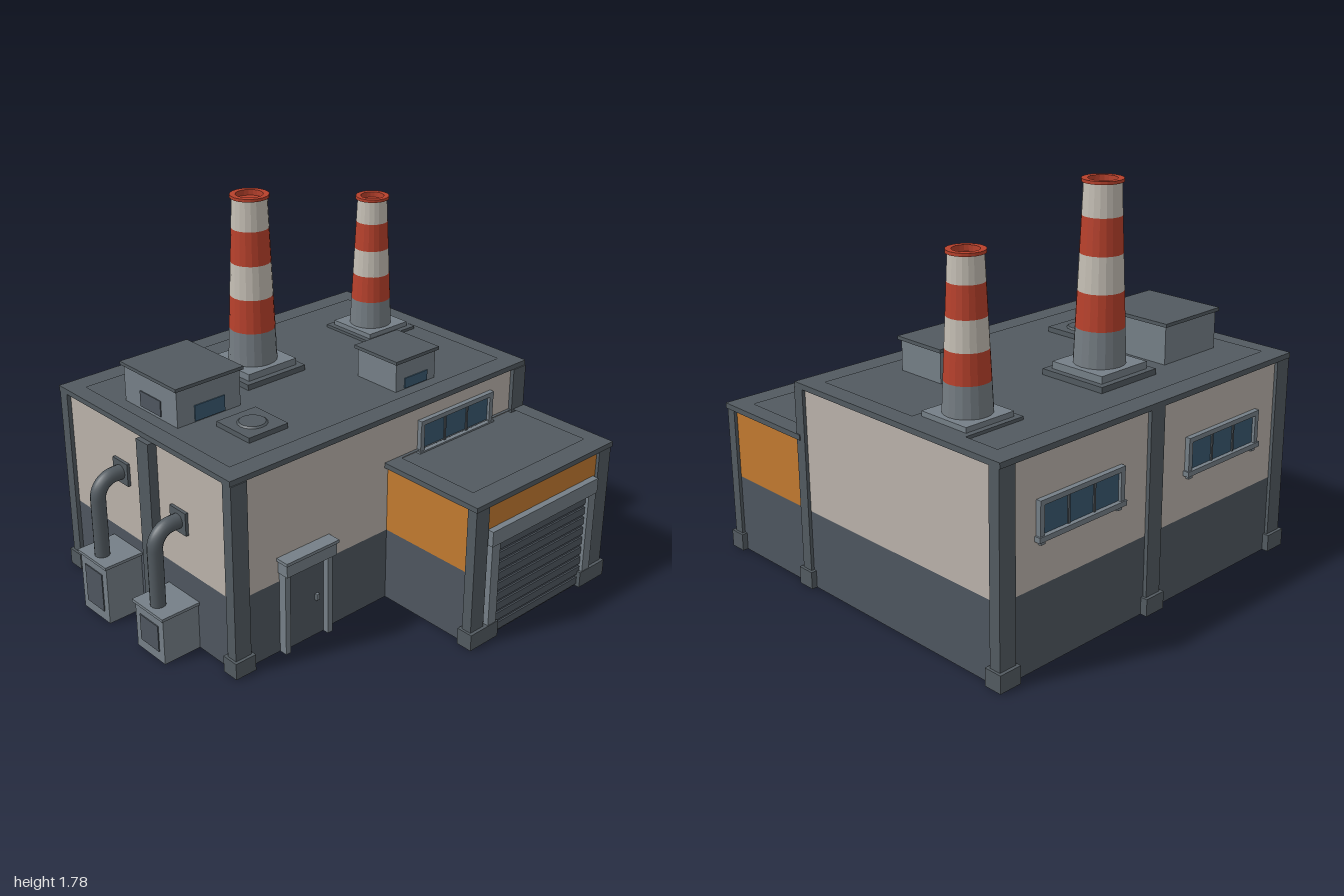
import * as THREE from 'three';

const mat = (name, color, extra = {}) => {
  const m = new THREE.MeshStandardMaterial({ color, ...extra });
  m.name = name;
  return m;
};

export function createModel() {
  const model = new THREE.Group();
  model.name = 'factory';
  const slate = mat('slate trim', 0x525a60);
  const base = mat('dark lower wall', 0x4e565f);
  const cream = mat('cream wall', 0xbab2aa);
  const orange = mat('orange wall', 0xc27a30);
  const grey = mat('light grey metal', 0x757f87);
  const glass = mat('blue glass', 0x38586f);
  const red = mat('red paint', 0xb8412c, { flatShading: true });
  const white = mat('white paint', 0xc4beb4, { flatShading: true });
  const steel = mat('chimney grey', 0x757d83, { flatShading: true });

  const add = (name, geo, material, parent = model) => {
    const m = new THREE.Mesh(geo, material);
    m.name = name;
    parent.add(m);
    return m;
  };
  // Box given by its extents on each axis
  const box = (name, material, x0, x1, y0, y1, z0, z1, parent) => {
    const g = new THREE.BoxGeometry(x1 - x0, y1 - y0, z1 - z0);
    g.translate((x0 + x1) / 2, (y0 + y1) / 2, (z0 + z1) / 2);
    return add(name, g, material, parent);
  };
  const group = (name) => {
    const g = new THREE.Group();
    g.name = name;
    model.add(g);
    return g;
  };

  // Roof slab with a raised rim around a shallow recess
  const roof = (name, o, i, y0, floor, y1) => {
    const g = group(name);
    box('roofDeck', slate, o[0], o[1], y0, floor, o[2], o[3], g);
    const loop = (Cls, r) => new Cls([[r[0], r[2]], [r[1], r[2]], [r[1], r[3]], [r[0], r[3]]]
      .map(([x, z]) => new THREE.Vector2(x, -z)));
    const shape = loop(THREE.Shape, o);
    shape.holes.push(loop(THREE.Path, i));
    const rim = new THREE.ExtrudeGeometry(shape, { depth: y1 - floor, bevelEnabled: false });
    rim.rotateX(-Math.PI / 2).translate(0, floor, 0);
    add('roofRim', rim, slate, g);
  };

  // Main hall and gate annex
  box('hallLowerWall', base, -0.8, 0.965, 0, 0.36, -0.87, 0.335);
  box('hallUpperWall', cream, -0.8, 0.965, 0.36, 0.92, -0.87, 0.335);
  roof('hallRoof', [-0.82, 0.98, -0.89, 0.35], [-0.74, 0.895, -0.79, 0.25], 0.92, 0.93, 0.945);
  box('annexLowerWall', base, 0.085, 0.965, 0, 0.36, 0.335, 0.865);
  box('annexUpperWall', orange, 0.085, 0.965, 0.36, 0.685, 0.335, 0.865);
  roof('annexRoof', [0.065, 0.985, 0.33, 0.885], [0.155, 0.905, 0.352, 0.78], 0.685, 0.695, 0.71);

  // Pillars: x0, x1, z0, z1, height
  [
    [-0.82, -0.735, 0.3, 0.355, 0.92], [-0.82, -0.735, -0.885, -0.83, 0.92],
    [0.895, 0.98, 0.3, 0.355, 0.92], [0.895, 0.98, -0.885, -0.83, 0.92],
    [0.045, 0.13, -0.888, -0.84, 0.92], [-0.845, -0.79, -0.257, -0.172, 0.92],
    [0.07, 0.152, 0.83, 0.88, 0.685], [0.898, 0.98, 0.83, 0.88, 0.685],
  ].forEach(([x0, x1, z0, z1, h]) => {
    box('pillar', slate, x0, x1, 0, h, z0, z1);
    // Annex feet reach inward past the gate frame
    const l = h < 0.9 && x0 > 0.5 ? 0.083 : 0.012, r = h < 0.9 && x0 < 0.5 ? 0.083 : 0.012;
    box('pillarFoot', slate, x0 - l, x1 + r, 0, 0.08, z0 - 0.015, z1 + 0.015);
  });

  // Roller gate
  const gate = group('gate');
  box('gatePanel', base, 0.22, 0.83, 0, 0.49, 0.85, 0.868, gate);
  for (let i = 0; i < 9; i++) {
    const y = 0.012 + i * 0.053;
    box('gateSlat', base, 0.22, 0.83, y, y + 0.038, 0.86, 0.876, gate);
  }
  for (const x of [0.17, 0.83]) box('gateJamb', grey, x, x + 0.052, 0, 0.49, 0.85, 0.892, gate);
  box('gateLintel', grey, 0.165, 0.885, 0.485, 0.56, 0.85, 0.896, gate);

  // Side entrance
  const door = group('entrance');
  box('doorPanel', base, -0.53, -0.31, 0, 0.405, 0.33, 0.345, door);
  for (const x of [-0.557, -0.312]) box('doorJamb', grey, x, x + 0.028, 0, 0.405, 0.33, 0.375, door);
  box('doorCanopy', grey, -0.563, -0.277, 0.405, 0.465, 0.33, 0.395, door);
  box('doorCanopyCap', grey, -0.57, -0.27, 0.465, 0.48, 0.33, 0.402, door);
  box('doorHandle', grey, -0.362, -0.345, 0.185, 0.215, 0.344, 0.358, door);

  // Three-pane windows, built facing +z
  const makeWindow = (x, y, z, turn) => {
    const g = group('window');
    box('windowGlass', glass, -0.22, 0.22, -0.065, 0.065, -0.01, 0.006, g);
    for (const s of [-1, 1]) {
      box('windowSide', grey, s * 0.23 - 0.012, s * 0.23 + 0.012, -0.085, 0.085, -0.01, 0.02, g);
      box('windowMullion', slate, s * 0.073 - 0.005, s * 0.073 + 0.005, -0.065, 0.065, -0.01, 0.012, g);
      box('sillBracket', grey, s * 0.22 - 0.012, s * 0.22 + 0.012, -0.105, -0.085, -0.01, 0.015, g);
    }
    box('windowHead', grey, -0.242, 0.242, 0.063, 0.085, -0.01, 0.022, g);
    box('windowSill', grey, -0.25, 0.25, -0.088, -0.065, -0.01, 0.026, g);
    g.position.set(x, y, z);
    g.rotation.y = turn;
  };
  makeWindow(0.512, 0.768, 0.337, 0);
  makeWindow(-0.36, 0.645, -0.872, Math.PI);
  makeWindow(0.53, 0.645, -0.872, Math.PI);

  // Banded chimneys
  const chimney = (x, z, y0, y1, r0, r1, stops) => {
    const g = group('chimney');
    const radius = (y) => r0 + (r1 - r0) * (y - y0) / (y1 - y0);
    const levels = [y0, ...stops, y1];
    const paints = [steel, red, white, red, white];
    paints.forEach((p, i) => {
      const a = levels[i], b = levels[i + 1];
      const c = new THREE.CylinderGeometry(radius(b), radius(a), b - a, 20, 1, true);
      c.translate(0, (a + b) / 2, 0);
      add('chimneyBand', c, p, g);
    });
    // Rim ring with a sunken cap inside
    const pts = [[0, -0.018], [r1 * 0.78, -0.018], [r1 * 0.78, 0.008], [r1 + 0.009, 0.008],
      [r1 + 0.009, -0.006], [r1 - 0.002, -0.006]].map(([r, y]) => new THREE.Vector2(r, y));
    const rim = new THREE.LatheGeometry(pts.reverse(), 20);
    rim.translate(0, y1, 0);
    add('chimneyRim', rim, red, g);
    g.position.set(x, 0, z);
  };
  box('chimneyPlate', slate, -0.197, 0.148, 0.925, 0.957, -0.633, -0.29);
  box('chimneyPlinth', grey, -0.168, 0.118, 0.95, 0.99, -0.605, -0.32);
  chimney(-0.025, -0.462, 0.985, 1.775, 0.115, 0.081, [1.15, 1.31, 1.47, 1.63]);
  box('chimneyPlate', slate, 0.585, 0.895, 0.925, 0.944, -0.615, -0.305);
  box('chimneyPlinth', grey, 0.612, 0.868, 0.94, 0.967, -0.59, -0.333);
  chimney(0.74, -0.462, 0.96, 1.612, 0.104, 0.072, [1.1, 1.23, 1.36, 1.495]);

  // Rooftop huts
  const hut = (x0, x1, z0, z1, top, w0, w1, wTop) => {
    const g = group('roofHut');
    box('hutBody', grey, x0, x1, 0.925, top, z0, z1, g);
    box('hutRoof', slate, x0 - 0.012, x1 + 0.012, top, top + 0.016, z0 - 0.012, z1 + 0.012, g);
    box('hutWindow', glass, w0, w1, 0.935, wTop, z1 - 0.002, z1 + 0.005, g);
    return g;
  };
  const bigHut = hut(-0.668, -0.32, -0.58, -0.195, 1.105, -0.575, -0.41, 1.01);
  box('hutVent', base, -0.673, -0.666, 0.945, 1.02, -0.46, -0.31, bigHut);
  hut(0.286, 0.538, -0.075, 0.175, 1.07, 0.34, 0.485, 0.985);

  // Roof hatch
  box('hatchPlate', slate, -0.53, -0.312, 0.925, 0.954, -0.1, 0.12);
  const lid = new THREE.CylinderGeometry(0.06, 0.07, 0.008, 16);
  add('hatchLid', lid, slate).position.set(-0.42, 0.957, 0.01);

  // Left-side duct units: cabinet, bent pipe and wall flange
  [[-0.023, 0.225, 0.605], [-0.44, 0.287, 0.675]].forEach(([z, h, y]) => {
    const g = group('ductUnit');
    box('cabinet', grey, -0.99, -0.8, 0, h, z - 0.1, z + 0.1, g);
    box('cabinetLid', grey, -1, -0.8, h, h + 0.014, z - 0.11, z + 0.11, g);
    box('cabinetVent', base, -0.995, -0.988, 0.05, h - 0.045, z - 0.065, z + 0.065, g);
    const path = new THREE.CurvePath();
    const v = (x, yy) => new THREE.Vector3(x, yy, z);
    path.add(new THREE.LineCurve3(v(-0.94, h), v(-0.94, y - 0.09)));
    path.add(new THREE.CubicBezierCurve3(v(-0.94, y - 0.09), v(-0.94, y - 0.04), v(-0.9, y), v(-0.85, y)));
    path.add(new THREE.LineCurve3(v(-0.85, y), v(-0.795, y)));
    add('ductPipe', new THREE.TubeGeometry(path, 48, 0.035, 14), slate, g);
    box('ductFlange', slate, -0.815, -0.795, y - 0.055, y + 0.055, z - 0.055, z + 0.055, g);
  });

  return model;
}
